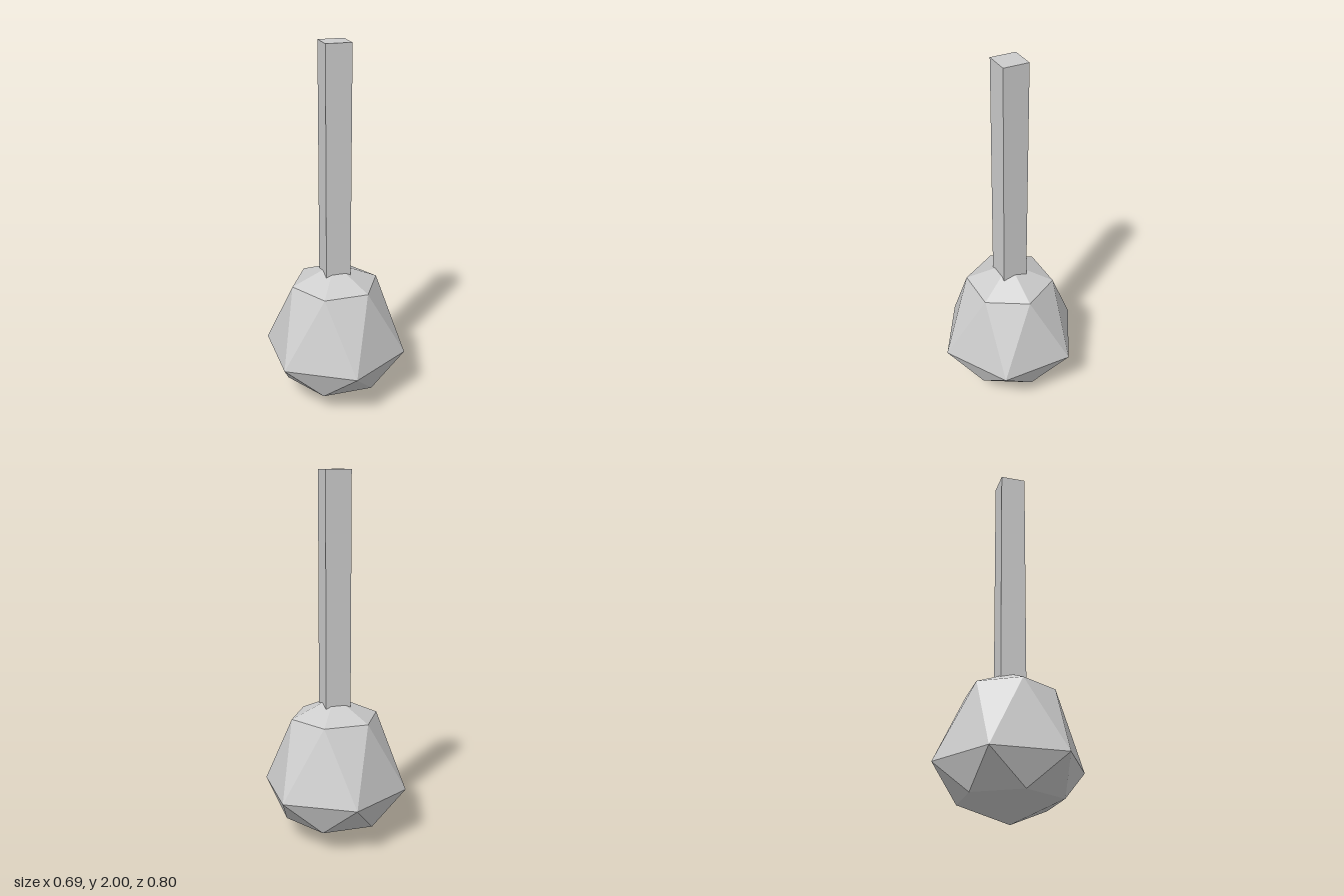
import * as THREE from 'three';
import { ConvexGeometry } from 'three/addons/geometries/ConvexGeometry.js';

export function createModel() {
  const model = new THREE.Group();
  model.name = 'faceted mace';
  const grey = new THREE.MeshStandardMaterial({ color: 0xcccccc, flatShading: true });
  grey.name = 'light grey';

  // Faceted bulb: hexagonal rings, each twisted half a step, between two tips.
  const rings = [ // height, radius, starting angle
    [0.685, 0.242, 0],
    [0.287, 0.4, Math.PI / 6],
    [0.113, 0.277, 0],
  ];
  const points = [new THREE.Vector3(0, 0.795, 0), new THREE.Vector3(0, 0, 0)];
  for (const [y, radius, start] of rings) {
    for (let i = 0; i < 6; i++) {
      const a = start + (i * Math.PI) / 3;
      points.push(new THREE.Vector3(radius * Math.cos(a), y, radius * Math.sin(a)));
    }
  }
  const bulb = new THREE.Mesh(new ConvexGeometry(points), grey);
  bulb.name = 'bulb';
  model.add(bulb);

  // Square shaft, its foot sunk into the bulb.
  const bottom = 0.7;
  const shaft = new THREE.Mesh(new THREE.BoxGeometry(0.138, 2 - bottom, 0.138), grey);
  shaft.name = 'shaft';
  shaft.position.y = (2 + bottom) / 2;
  model.add(shaft);

  return model;
}
